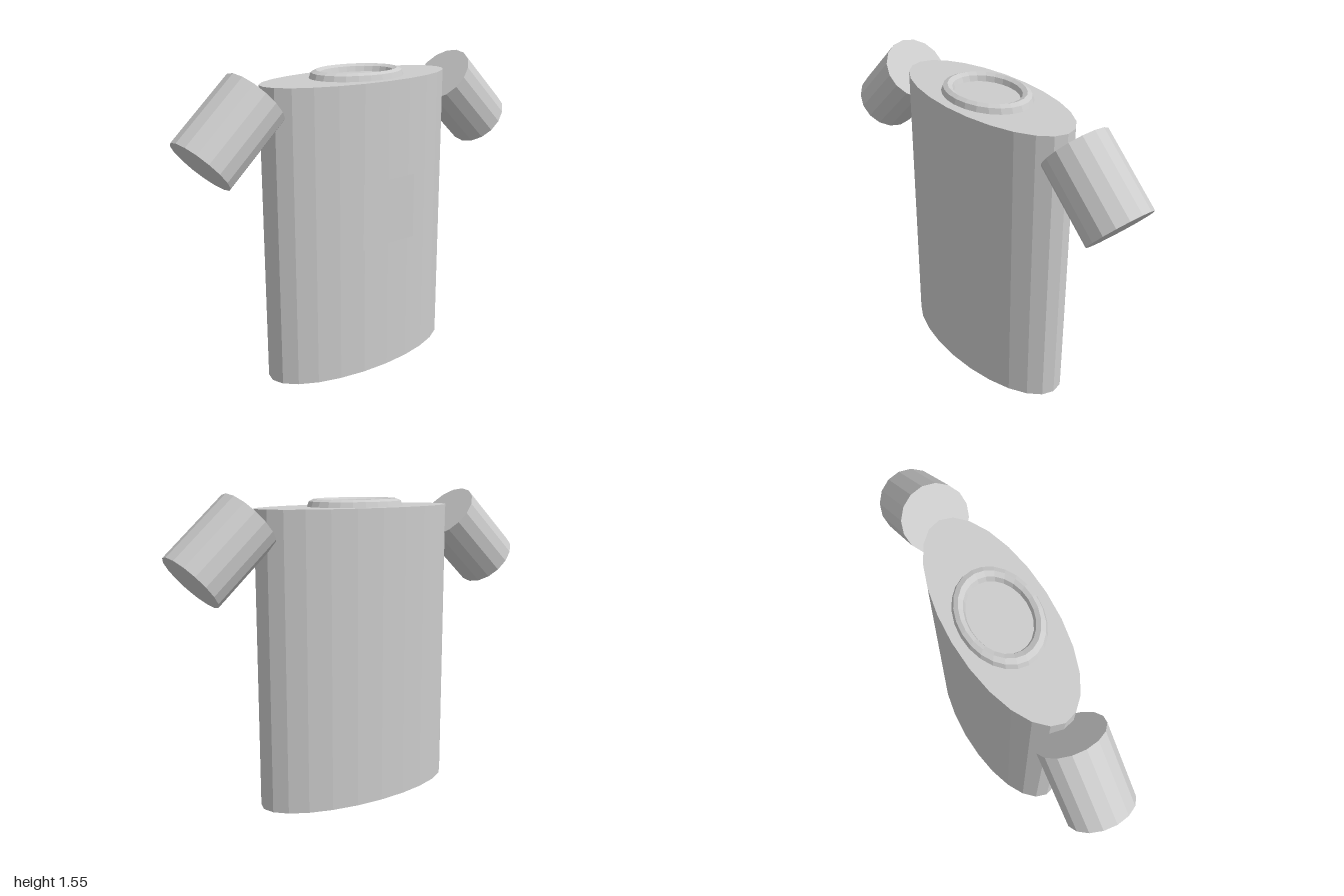
import * as THREE from 'three';

export function createModel() {
  const model = new THREE.Group();
  const fabric = new THREE.MeshStandardMaterial({ color: 0xcccccc, flatShading: true });
  fabric.name = 'greyFabric';
  const midZ = -0.005;

  const add = (name, geometry, x, y, z) => {
    const mesh = new THREE.Mesh(geometry, fabric);
    mesh.name = name;
    mesh.position.set(x, y, z);
    model.add(mesh);
    return mesh;
  };

  // Torso: elliptical faceted cylinder
  const height = 1.475;
  const torso = add('torso', new THREE.CylinderGeometry(1, 1, height, 24), 0, height / 2, midZ);
  torso.scale.set(0.553, 1, 0.238);

  // Neck collar: oval ring half sunk into the top
  const ring = new THREE.TorusGeometry(0.22, 0.037, 8, 24).rotateX(-Math.PI / 2);
  add('collar', ring, 0, height, midZ).scale.set(1, 1, 0.75);

  // Sleeves: slanted cylinders, mirrored left and right
  for (const side of [1, -1]) {
    const sleeve = add(side > 0 ? 'leftSleeve' : 'rightSleeve',
      new THREE.CylinderGeometry(0.164, 0.164, 0.4, 16), side * 0.742, 1.294, midZ);
    sleeve.rotation.z = side * 0.834;
  }

  // Chest patch: flat square just in front of the torso
  add('chestPatch', new THREE.PlaneGeometry(0.33, 0.33), 0, 0.835, 0.242);

  return model;
}
